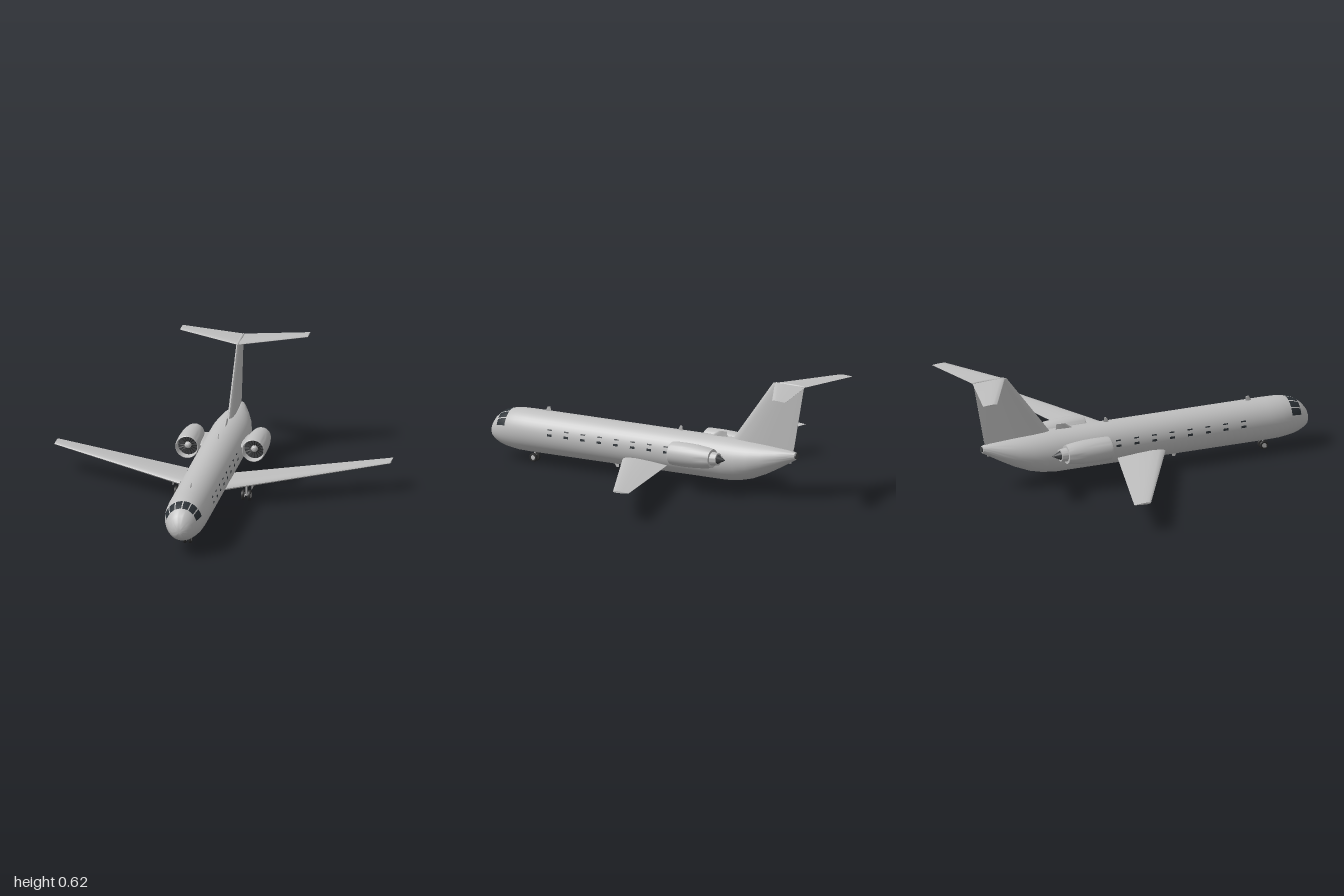
import * as THREE from 'three';
import { toCreasedNormals } from 'three/addons/utils/BufferGeometryUtils.js';

const mat = (name, color, side = THREE.FrontSide) => {
  const m = new THREE.MeshStandardMaterial({ color, side });
  m.name = name;
  return m;
};

// Skin through a list of closed rings of [x, y, z], with both ends capped
function loft(rings, crease = 0.7) {
  const n = rings[0].length, pos = rings.flat(2), idx = [];
  for (let i = 0; i < rings.length - 1; i++) {
    for (let j = 0; j < n; j++) {
      const a = i * n + j, b = i * n + (j + 1) % n;
      idx.push(a, b, b + n, a, b + n, a + n);
    }
  }
  const e = (rings.length - 1) * n;
  for (let j = 1; j < n - 1; j++) idx.push(0, j + 1, j, e, e + j, e + j + 1);
  // turn the faces outward if the enclosed volume is negative
  const v = (k) => new THREE.Vector3().fromArray(pos, idx[k] * 3);
  let vol = 0;
  for (let k = 0; k < idx.length; k += 3) vol += v(k).dot(v(k + 1).cross(v(k + 2)));
  if (vol < 0) idx.reverse();
  const g = new THREE.BufferGeometry();
  g.setAttribute('position', new THREE.Float32BufferAttribute(pos, 3));
  g.setIndex(idx);
  return toCreasedNormals(g, crease);
}

// Fuselage sections: z, centre height, half width, half height
const BODY = [
  [1, 0.144, 0.003, 0.003], [0.996, 0.145, 0.02, 0.021], [0.985, 0.148, 0.043, 0.045],
  [0.965, 0.155, 0.062, 0.066], [0.935, 0.162, 0.079, 0.086], [0.905, 0.165, 0.091, 0.098],
  [0.87, 0.167, 0.1, 0.106], [0.82, 0.1675, 0.107, 0.1125], [0.75, 0.1675, 0.11, 0.114],
  [-0.45, 0.1675, 0.11, 0.114], [-0.53, 0.171, 0.108, 0.109], [-0.6, 0.178, 0.1, 0.099],
  [-0.68, 0.192, 0.084, 0.08], [-0.76, 0.209, 0.058, 0.055], [-0.82, 0.223, 0.034, 0.035],
  [-0.86, 0.23, 0.018, 0.02],
];

// Point on the fuselage; the angle in degrees is measured from the top toward +x
function bodyPoint(z, deg, lift = 0) {
  let i = 0;
  while (i < BODY.length - 2 && BODY[i + 1][0] > z) i++;
  const a = BODY[i], b = BODY[i + 1], t = (a[0] - z) / (a[0] - b[0]);
  const [cy, rx, ry] = [1, 2, 3].map((k) => a[k] + (b[k] - a[k]) * t);
  const r = THREE.MathUtils.degToRad(deg);
  return [(rx + lift) * Math.sin(r), cy + (ry + lift) * Math.cos(r), z];
}

// Thin patch lying on the fuselage skin
function skinPatch(zs, deg0, deg1, lift = 0.0015) {
  const steps = 4, pos = [], idx = [];
  zs.forEach((z, i) => {
    for (let j = 0; j <= steps; j++) {
      pos.push(...bodyPoint(z, deg0 + ((deg1 - deg0) * j) / steps, lift));
      if (i && j) {
        const d = i * (steps + 1) + j, c = d - steps - 1;
        idx.push(c - 1, d - 1, d, c - 1, d, c);
      }
    }
  });
  const g = new THREE.BufferGeometry();
  g.setAttribute('position', new THREE.Float32BufferAttribute(pos, 3));
  g.setIndex(idx);
  g.computeVertexNormals();
  return g;
}

// Airfoil outline: [chord fraction from leading edge, half thickness fraction]
const FOIL = [[0, 0], [0.03, 0.5], [0.12, 0.85], [0.3, 1], [0.6, 0.7], [1, 0.06]];
const FOIL_RING = [...FOIL, ...FOIL.slice(1).reverse().map(([c, t]) => [c, -t])];
// Station: span position, other-axis offset, leading z, trailing z, half thickness
const foilRing = ([span, off, le, te, h], upright) => FOIL_RING.map(([c, t]) => {
  const z = le + (te - le) * c;
  return upright ? [off + t * h, span, z] : [span, off + t * h, z];
});
const foil = (stations, upright = false) => loft(stations.map((s) => foilRing(s, upright)), 0.9);

export function createModel() {
  const model = new THREE.Group();
  model.name = 'jetAirliner';
  const grey = mat('bodyGrey', 0xbfbfbf);
  const glass = mat('windowDark', 0x2c3237, THREE.DoubleSide);
  const dark = mat('exhaustDark', 0x404244);
  const rubber = mat('tyreBlack', 0x2b2b2b);
  const add = (name, geo, m, x = 0, y = 0, z = 0, parent = model) => {
    const mesh = new THREE.Mesh(geo, m);
    mesh.name = name;
    mesh.position.set(x, y, z);
    parent.add(mesh);
    return mesh;
  };

  // Fuselage and tail exhaust
  const rings = BODY.map(([z]) => Array.from({ length: 40 }, (_, j) => bodyPoint(z, j * 9)));
  add('fuselage', loft(rings, 0.9), grey);
  add('tailExhaust', new THREE.CylinderGeometry(0.015, 0.015, 0.012, 16).rotateX(Math.PI / 2), dark, 0, 0.23, -0.86);

  // Vertical fin with a slim cap, and the small aerials
  add('fin', foil([[0.22, 0, -0.43, -0.835, 0.019], [0.28, 0, -0.475, -0.85, 0.018], [0.61, 0, -0.72, -0.91, 0.01]], true), grey);
  add('finCap', new THREE.SphereGeometry(1, 16, 10).scale(0.009, 0.009, 0.1), grey, 0, 0.61, -0.82);
  const blade = (y0, y1, z0, z1, z2, z3, h) => add('aerial', foil([[y0, 0, z0, z1, h], [y1, 0, z2, z3, h]], true), grey);
  blade(0.27, 0.305, 0.685, 0.645, 0.665, 0.648, 0.004);
  blade(0.27, 0.305, -0.13, -0.165, -0.148, -0.163, 0.004);
  blade(0.27, 0.31, -0.33, -0.44, -0.385, -0.435, 0.006);
  blade(0.065, 0.033, 0.265, 0.225, 0.243, 0.228, 0.004);
  blade(0.225, 0.187, -0.79, -0.835, -0.815, -0.832, 0.004);

  // Shared wheel pieces
  const tyre = (r, w) => new THREE.LatheGeometry([[0.55, -0.4], [0.85, -0.5], [1, -0.28], [1, 0.28], [0.85, 0.5], [0.55, 0.4], [0.55, -0.4]]
    .map(([a, b]) => new THREE.Vector2(a * r, b * w)), 24).rotateZ(Math.PI / 2);
  const hub = (r, w) => new THREE.CylinderGeometry(r * 0.56, r * 0.56, w * 0.7, 20).rotateZ(Math.PI / 2);
  const landingGear = (name, x, z, r, w, gap, top) => {
    const g = new THREE.Group();
    g.name = name;
    g.position.set(x, r, z);
    model.add(g);
    for (const s of [-1, 1]) {
      add('tyre', tyre(r, w), rubber, s * gap, 0, 0, g);
      add('wheelHub', hub(r, w), grey, s * gap, 0, 0, g);
    }
    add('axle', new THREE.CylinderGeometry(0.004, 0.004, gap * 2, 10).rotateZ(Math.PI / 2), grey, 0, 0, 0, g);
    add('strut', new THREE.CylinderGeometry(0.005, 0.005, top - r, 10), grey, 0, (top - r) / 2, 0, g);
  };
  landingGear('noseGear', 0, 0.745, 0.023, 0.016, 0.014, 0.08);

  // Engine profiles, turned about the z axis
  const turned = (pts) => toCreasedNormals(
    new THREE.LatheGeometry(pts.map(([r, z]) => new THREE.Vector2(r, z)), 36).rotateX(Math.PI / 2), 0.6);
  const nacelle = turned([[0.034, -0.455], [0.05, -0.455], [0.056, -0.42], [0.062, -0.36], [0.064, -0.29],
    [0.063, -0.222], [0.061, -0.21], [0.058, -0.207], [0.055, -0.213], [0.053, -0.26]]);
  const nozzle = turned([[0, -0.485], [0.028, -0.49], [0.033, -0.49], [0.037, -0.45]]);
  const fan = turned([[0.054, -0.25], [0, -0.25]].map(([r, z]) => [r, z]));
  const spinner = turned([[0.019, -0.25], [0.016, -0.238], [0.009, -0.229], [0, -0.226]]);
  const cone = turned([[0, -0.535], [0.026, -0.485]]);

  for (const s of [-1, 1]) {
    // Wing and tailplane
    add('wing', foil([[0, 0.1, 0.2, -0.095, 0.019], [s * 0.11, 0.107, 0.14, -0.13, 0.017],
      [s * 0.895, 0.154, -0.28, -0.375, 0.005]]), grey);
    add('tailplane', foil([[0, 0.608, -0.73, -0.915, 0.007], [s * 0.34, 0.608, -0.92, -1, 0.004]]), grey);

    // Engine and its pylon
    const engine = new THREE.Group();
    engine.name = 'engine';
    engine.position.set(s * 0.177, 0.203, 0);
    model.add(engine);
    add('nacelle', nacelle, grey, 0, 0, 0, engine);
    add('nozzle', nozzle, grey, 0, 0, 0, engine);
    add('exhaustCone', cone, dark, 0, 0, 0, engine);
    add('fan', fan, dark, 0, 0, 0, engine);
    add('spinner', spinner, grey, 0, 0, 0, engine);
    for (let i = 0; i < 16; i++) {
      const vane = add('fanBlade', new THREE.BoxGeometry(0.005, 0.034, 0.002).rotateY(0.5).translate(0, 0.035, 0), rubber, 0, 0, -0.248, engine);
      vane.rotation.z = (i * Math.PI) / 8;
    }
    add('pylon', foil([[s * 0.07, 0.203, -0.25, -0.475, 0.012], [s * 0.135, 0.203, -0.25, -0.47, 0.012]]), grey);

    // Main landing gear with its door
    landingGear('mainGear', s * 0.179, 0, 0.028, 0.018, 0.017, 0.11);
    add('gearDoor', new THREE.BoxGeometry(0.003, 0.036, 0.04), grey, s * 0.21, 0.085, 0);

    // Cockpit panes
    for (const [a, b] of [[2, 23], [27, 48], [52, 74]]) {
      add('cockpitPane', skinPatch([0.932, 0.905, 0.874], s * a, s * b), glass);
    }
    // Two rows of cabin windows
    for (let i = 0; i < 8; i++) {
      const z = 0.59 - i * 0.102;
      add('cabinWindow', skinPatch([z + 0.014, z - 0.014], s * 80.5, s * 86.5), glass);
      add('upperWindow', skinPatch([z + 0.014, z - 0.014], s * 67.5, s * 71), glass);
    }
  }
  return model;
}
